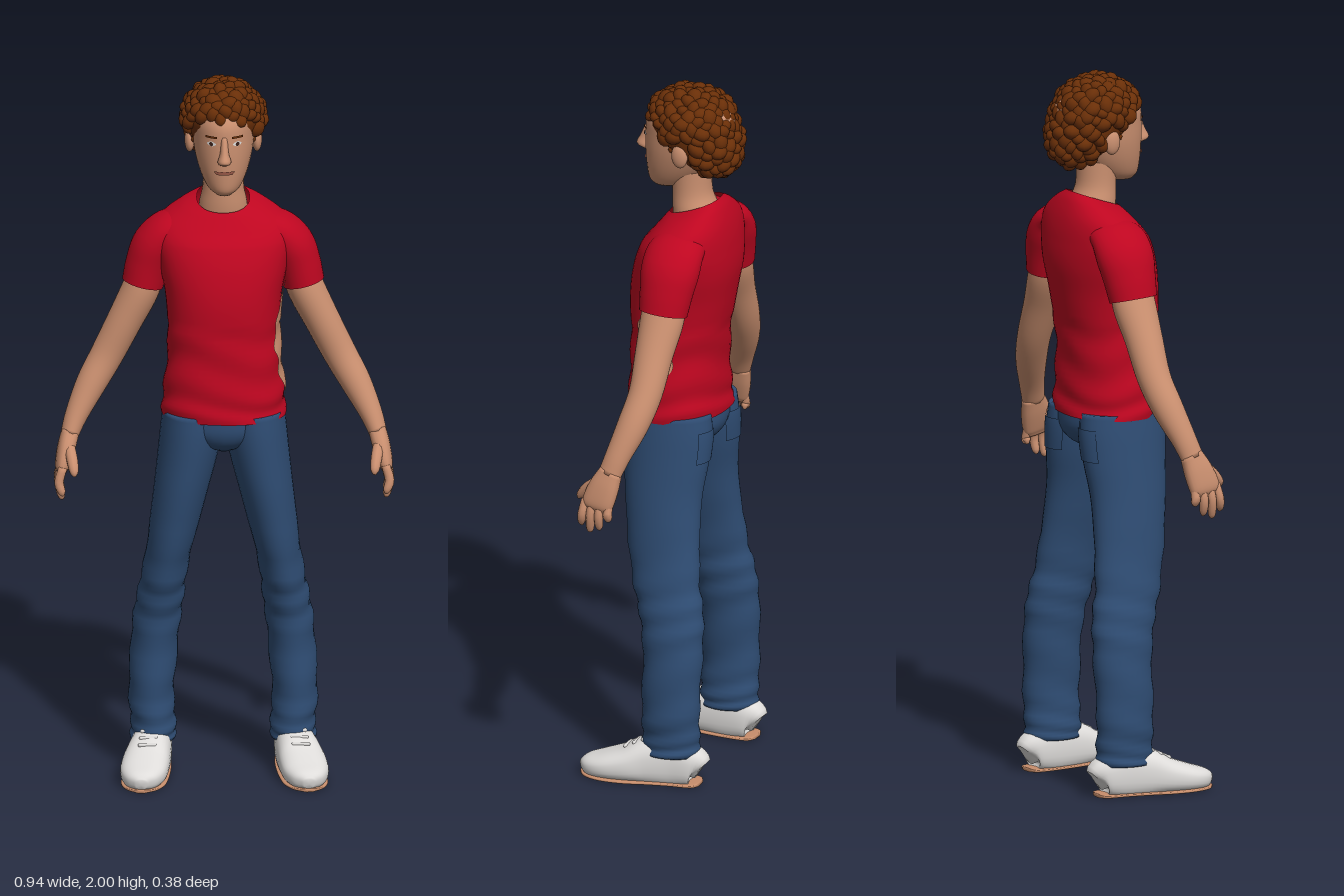
import * as THREE from 'three';
import { mergeGeometries, mergeVertices } from 'three/addons/utils/BufferGeometryUtils.js';

const V = (x, y, z) => new THREE.Vector3(x, y, z);
const mat = (name, color, side = THREE.FrontSide) => {
  const m = new THREE.MeshStandardMaterial({ color, side });
  m.name = name;
  return m;
};

// Smooth surface through oval sections [x, y, z, halfWidth, halfDepth].
// Sections lie flat (level) or square to the path; t counts sections.
function surface(sections, { level = false, ref = V(0, 0, 1), p = 2, tilt = () => 0, floor = -1, fold = () => 0 } = {}) {
  const n = sections.length - 1;
  const path = new THREE.CatmullRomCurve3(sections.map(s => V(s[0], s[1], s[2])), false, 'catmullrom');
  const size = new THREE.CatmullRomCurve3(sections.map(s => V(s[3], s[4], 0)), false, 'catmullrom');
  const bend = c => Math.sign(c) * Math.abs(c) ** (2 / p);
  const point = (t, th, offset = 0) => {
    const f = Math.min(1, Math.max(0, t / n));
    const c = path.getPoint(f), r = size.getPoint(f);
    let u = V(1, 0, 0), v = V(0, 0, 1);
    if (!level) {
      const d = path.getTangent(f);
      v = ref.clone().addScaledVector(d, -ref.dot(d)).normalize();
      u = d.clone().cross(v);
    }
    const grow = offset + fold(t, th);
    const a = (Math.max(r.x, 0.001) + grow) * bend(Math.cos(th));
    const b = (Math.max(r.y, 0.001) + grow) * bend(Math.sin(th));
    const q = c.addScaledVector(u, a).addScaledVector(v, b);
    q.y = Math.max(floor, q.y - tilt(t) * b);
    return q;
  };
  return { point, path, n };
}

// Triangle grid from a point rule
function grid(rows, cols, rule) {
  const pos = [], idx = [];
  for (let i = 0; i <= rows; i++) for (let j = 0; j <= cols; j++) pos.push(...rule(i, j).toArray());
  for (let i = 0; i < rows; i++) for (let j = 0; j < cols; j++) {
    const a = i * (cols + 1) + j, b = a + cols + 1;
    idx.push(a, b, a + 1, a + 1, b, b + 1);
  }
  let g = new THREE.BufferGeometry();
  g.setAttribute('position', new THREE.Float32BufferAttribute(pos, 3));
  g.setIndex(idx);
  g = mergeVertices(g, 1e-5);
  g.computeVertexNormals();
  return g;
}

// Whole tube of a surface, with closed ends if capped
function loft(s, cap = true, cols = 32, per = 5) {
  const rows = s.n * per, e = cap ? 1 : 0;
  return grid(rows + 2 * e, cols, (i, j) => {
    if (cap && i === 0) return s.path.getPoint(0);
    if (cap && i === rows + 2) return s.path.getPoint(1);
    return s.point((i - e) / per, (j % cols) / cols * Math.PI * 2);
  });
}

// Thin plate following part of a surface; edges(f) gives its angle range
const patch = (s, t0, t1, edges, offset = 0.004, rows = 12, cols = 10) => grid(rows, cols, (i, j) => {
  const f = i / rows, [lo, hi] = edges(f);
  return s.point(t0 + (t1 - t0) * f, lo + (hi - lo) * j / cols, offset);
});

export function createModel() {
  const root = new THREE.Group();
  root.name = 'standingMan';
  const shirt = mat('red shirt', 0xbe0620, THREE.DoubleSide);
  const jeans = mat('blue denim', 0x2f4d74, THREE.DoubleSide);
  const skin = mat('skin', 0xcb9070, THREE.DoubleSide);
  const hair = mat('brown hair', 0x6a2f08);
  const white = mat('shoe white', 0xdedcda);
  const tan = mat('sole tan', 0xc88e6c);
  const dark = mat('dark brown', 0x3a2018, THREE.DoubleSide);
  const lip = mat('lip', 0x9a5a48, THREE.DoubleSide);
  const add = (name, geometry, material, parent = root) => {
    const m = new THREE.Mesh(geometry, material);
    m.name = name;
    parent.add(m);
    return m;
  };
  const ball = (name, material, pos, scale) => {
    const m = add(name, new THREE.SphereGeometry(1, 20, 14), material);
    m.position.set(...pos);
    m.scale.set(...scale);
  };

  // Shirt body, with the collar dipping at the front
  const torso = surface([
    [0, 1.045, -0.007, 0.172, 0.136], [0, 1.12, -0.005, 0.166, 0.131], [0, 1.25, -0.007, 0.154, 0.13],
    [0, 1.38, -0.016, 0.16, 0.142], [0, 1.47, -0.03, 0.178, 0.142], [0, 1.54, -0.042, 0.19, 0.128],
    [0, 1.59, -0.052, 0.178, 0.108], [0, 1.63, -0.056, 0.122, 0.086], [0, 1.65, -0.053, 0.073, 0.07],
  ], { level: true, p: 2.2, tilt: t => 0.35 * Math.max(0, (t - 5) / 3),
    fold: (t, th) => t < 2.5 ? 0.003 * Math.sin(t * 7 + 2 * Math.sin(th * 2)) : 0 });
  add('shirtBody', loft(torso, false, 48, 8), shirt);
  // Bare skin showing at the left side of the waist
  add('sideSkin', patch(torso, 0.75, 3.45, f => {
    const w = Math.sin(Math.PI * f), jag = 0.05 * Math.sin(f * 31) * w;
    return [0.08 - 0.4 * w + jag, 0.1 + 0.4 * w + jag];
  }, 0.004, 40), skin);

  // Jeans seat
  add('jeansSeat', loft(surface([
    [0, 0.945, -0.01, 0.03, 0.06], [0, 0.97, -0.01, 0.1, 0.105],
    [0, 1.01, -0.01, 0.163, 0.126], [0, 1.065, -0.008, 0.163, 0.126],
  ], { level: true })), jeans);

  for (const s of [1, -1]) {
    const side = s > 0 ? 'left' : 'right';
    const flip = list => list.map(([x, ...rest]) => [x * s, ...rest]);

    // Sleeve and bare arm
    add(side + 'Sleeve', loft(surface(flip([
      [0.08, 1.575, -0.06, 0.04, 0.07], [0.15, 1.56, -0.06, 0.05, 0.082], [0.187, 1.515, -0.06, 0.062, 0.084],
      [0.208, 1.46, -0.058, 0.061, 0.076], [0.222, 1.403, -0.055, 0.058, 0.069],
    ])), false), shirt);
    add(side + 'Arm', loft(surface(flip([
      [0.2, 1.47, -0.058, 0.045, 0.055], [0.226, 1.39, -0.055, 0.052, 0.062], [0.27, 1.3, -0.05, 0.049, 0.054],
      [0.32, 1.2, -0.047, 0.046, 0.047], [0.365, 1.12, -0.03, 0.042, 0.044],
      [0.405, 1.04, -0.004, 0.032, 0.036], [0.426, 0.985, 0.014, 0.025, 0.033],
    ]))), skin);

    // Hand: palm, four fingers and thumb
    add(side + 'Palm', loft(surface(flip([
      [0.423, 0.995, 0.01, 0.025, 0.032], [0.435, 0.95, 0.026, 0.025, 0.043],
      [0.446, 0.905, 0.04, 0.02, 0.046], [0.448, 0.885, 0.045, 0.012, 0.038],
    ]), { p: 2.4 }), true, 20), skin);
    const tips = [[0.006, 0.856], [0.035, 0.825], [0.062, 0.815], [0.088, 0.832]];
    tips.forEach(([z, y], k) => {
      const z0 = 0.008 + k * 0.023;
      add(side + 'Finger' + (k + 1), loft(surface(flip([
        [0.445, 0.91, z0, 0.012, 0.012], [0.456, 0.87, (z0 + z) / 2, 0.013, 0.013],
        [0.449, y + 0.012, z, 0.011, 0.011], [0.445, y, z, 0.004, 0.004],
      ])), true, 10, 3), skin);
    });
    add(side + 'Thumb', loft(surface(flip([
      [0.428, 0.965, 0.04, 0.016, 0.016], [0.42, 0.935, 0.08, 0.016, 0.016],
      [0.415, 0.908, 0.105, 0.013, 0.013], [0.414, 0.895, 0.113, 0.004, 0.004],
    ]), { ref: V(1, 0, 0) }), true, 10, 3), skin);

    // Trouser leg with soft folds near the cuff and knee
    const leg = surface(flip([
      [0.194, 0.088, -0.066, 0.063, 0.083], [0.192, 0.13, -0.066, 0.062, 0.083], [0.198, 0.22, -0.067, 0.063, 0.083],
      [0.186, 0.4, -0.068, 0.066, 0.087], [0.173, 0.5, -0.056, 0.065, 0.095], [0.158, 0.6, -0.032, 0.062, 0.1],
      [0.122, 0.8, -0.01, 0.074, 0.111], [0.1, 0.92, -0.01, 0.083, 0.123], [0.089, 1.0, -0.01, 0.086, 0.128],
      [0.084, 1.06, -0.008, 0.084, 0.125],
    ]), { level: true, fold: (t, th) => t < 5.5 ? 0.003 * Math.sin(t * 8 + 2 * Math.sin(th)) : 0 });
    add(side + 'TrouserLeg', loft(leg), jeans);
    add(side + 'BackPocket', patch(leg, 7.1, 8.3, () => [-Math.PI / 2 - 0.55, -Math.PI / 2 + 0.55]), jeans);

    // Shoe with a flat tan underside
    const shoe = flip([
      [0.187, 0.045, -0.152, 0.02, 0.03], [0.188, 0.055, -0.135, 0.043, 0.055], [0.192, 0.06, -0.07, 0.052, 0.072],
      [0.203, 0.056, 0, 0.06, 0.066], [0.216, 0.044, 0.06, 0.066, 0.048], [0.225, 0.034, 0.12, 0.063, 0.036],
      [0.23, 0.028, 0.165, 0.044, 0.027], [0.232, 0.024, 0.187, 0.014, 0.014],
    ]);
    add(side + 'Shoe', loft(surface(shoe, { ref: V(0, 1, 0), p: 2.5, floor: 0.006 })), white);
    add(side + 'Sole', loft(surface(shoe.map(([x, y, z, a]) => [x, 0.005, z, a * 0.97, 0.005]),
      { ref: V(0, 1, 0), p: 4 })), tan);
    for (let k = 0; k < 3; k++) { // laces
      const z = 0.005 + k * 0.025, y = 0.121 - k * 0.012;
      add(side + 'Lace' + (k + 1), new THREE.CapsuleGeometry(0.006, 0.04, 4, 8).rotateZ(Math.PI / 2)
        .translate(s * (0.204 + k * 0.004), y, z), white);
    }
  }

  // Neck and head
  add('neck', loft(surface([
    [0, 1.59, -0.055, 0.07, 0.06], [0, 1.64, -0.052, 0.066, 0.064], [0, 1.69, -0.042, 0.057, 0.056],
    [0, 1.77, -0.04, 0.057, 0.057],
  ], { level: true })), skin);
  const head = surface([
    [0, 1.692, 0.042, 0.022, 0.03], [0, 1.71, 0.022, 0.046, 0.064], [0, 1.75, 0, 0.066, 0.092],
    [0, 1.8, -0.02, 0.08, 0.115], [0, 1.85, -0.034, 0.086, 0.129], [0, 1.9, -0.04, 0.087, 0.13],
    [0, 1.945, -0.045, 0.074, 0.1], [0, 1.97, -0.045, 0.03, 0.04],
  ], { level: true });
  add('head', loft(head), skin);
  add('nose', loft(surface([
    [0, 1.787, 0.088, 0.012, 0.01], [0, 1.8, 0.1, 0.019, 0.026], [0, 1.825, 0.096, 0.012, 0.02],
    [0, 1.868, 0.084, 0.009, 0.012],
  ], { level: true }), true, 16), skin);
  const front = Math.PI / 2;
  add('mouth', patch(head, 2.22, 2.42, f => [front - 0.3 - 0.1 * f, front + 0.3 + 0.1 * f], 0.004), lip);
  for (const s of [1, -1]) {
    const side = s > 0 ? 'left' : 'right', c = front - s * 0.42;
    const oval = w => f => [c - w * Math.sin(Math.PI * f), c + w * Math.sin(Math.PI * f)];
    add(side + 'Eye', patch(head, 3.82, 4.12, oval(0.15), 0.002), white);
    add(side + 'Iris', patch(head, 3.83, 4.11, oval(0.065), 0.004), dark);
    add(side + 'Eyebrow', patch(head, 4.3, 4.42, () => [c - 0.19, c + 0.19], 0.004), hair);
    ball(side + 'Ear', skin, [s * 0.093, 1.82, -0.045], [0.014, 0.035, 0.024]);
  }

  // Hair: a cap that sweeps back towards the nape, covered with curls
  const scalp = (d, rx, ry, rz) => {
    const y = d.y * ry * (d.y < 0 ? 1.4 : 1);
    return V(d.x * rx, 1.885 + y, -0.04 + d.z * rz + Math.min(0, y) * 0.5);
  };
  const cap = new THREE.SphereGeometry(1, 32, 24);
  const cp = cap.attributes.position;
  for (let i = 0; i < cp.count; i++) {
    const q = scalp(V(0, 0, 0).fromBufferAttribute(cp, i), 0.104, 0.1, 0.116);
    cp.setXYZ(i, q.x, q.y, Math.min(q.z, 0.07));
  }
  cap.computeVertexNormals();
  add('hairCap', cap, hair);
  let seed = 7;
  const rnd = () => (seed = (seed * 16807) % 2147483647) / 2147483647;
  const curls = [];
  for (let k = 0; k < 210; k++) {
    const y = 1 - 2 * (k + 0.5) / 210, r = Math.sqrt(1 - y * y), a = k * 2.39996;
    const q = scalp(V(r * Math.cos(a), y, r * Math.sin(a)), 0.101, 0.092, 0.116);
    const size = 0.018 + 0.008 * rnd();
    const hairline = q.z > 0.02 ? 1.905 : q.z > -0.07 ? 1.865 : 1.75;
    if (q.y < hairline) continue;
    curls.push(new THREE.SphereGeometry(size, 12, 9).scale(1.15, 0.85, 1).rotateZ(rnd() * 3).rotateY(rnd() * 3)
      .translate(q.x, q.y, q.z));
  }
  for (const s of [1, -1]) for (let k = 0; k < 3; k++) { // sideburns
    curls.push(new THREE.SphereGeometry(0.016 - k * 0.003, 10, 8).translate(s * (0.085 - k * 0.003), 1.87 - k * 0.02, -0.015));
  }
  add('hairCurls', mergeGeometries(curls), hair);
  return root;
}
